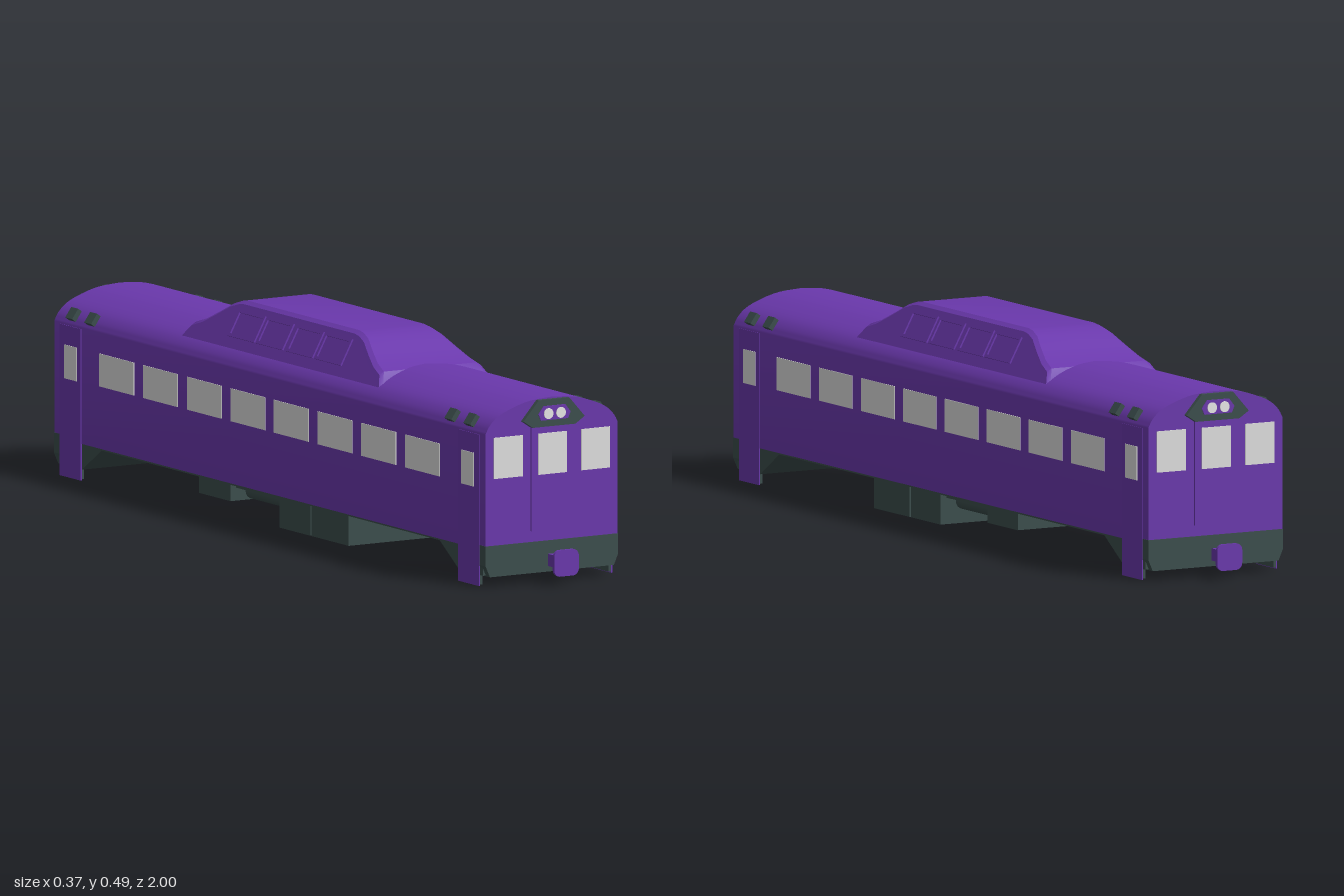
import * as THREE from 'three';
import { toCreasedNormals } from 'three/addons/utils/BufferGeometryUtils.js';

const mat = (name, color) => {
  const m = new THREE.MeshStandardMaterial({ color });
  m.name = name;
  return m;
};

export function createModel() {
  const purple = mat('purple paint', 0x6a38ac);
  const dark = mat('dark green grey', 0x3b4d4c);
  const glass = mat('pale glass', 0xdedede);
  const white = mat('lamp white', 0xf4f4f4);
  const model = new THREE.Group();
  model.name = 'railcar';

  const add = (parent, name, geo, material) => {
    const mesh = new THREE.Mesh(geo, material);
    mesh.name = name;
    parent.add(mesh);
    return mesh;
  };
  // box given by its limits on each axis
  const box = (parent, name, material, [x0, x1], [y0, y1], [z0, z1]) => {
    const mesh = add(parent, name, new THREE.BoxGeometry(x1 - x0, y1 - y0, z1 - z0), material);
    mesh.position.set((x0 + x1) / 2, (y0 + y1) / 2, (z0 + z1) / 2);
    return mesh;
  };
  const polygon = pts => new THREE.Shape(pts.map(p => new THREE.Vector2(...p)));
  // right half of an outline, mirrored to a closed shape
  const mirrored = half => polygon([...half, ...half.filter(p => p[0] > 0).reverse().map(([x, y]) => [-x, y])]);
  const extrude = (shape, depth, z = 0) =>
    new THREE.ExtrudeGeometry(shape, { depth, bevelEnabled: false, curveSegments: 8 }).translate(0, 0, z);

  // body shell with arched roof
  const arch = new THREE.SplineCurve([[0.177, 0.358], [0.166, 0.377], [0.145, 0.396], [0.11, 0.412], [0.06, 0.426], [0, 0.431]]
    .map(p => new THREE.Vector2(...p))).getPoints(16).map(p => [Math.max(p.x, 0), p.y]);
  arch[arch.length - 1] = [0, 0.431];
  add(model, 'body', toCreasedNormals(extrude(mirrored([[0.177, 0.09], ...arch]), 1.87, -0.935), 0.5), purple);

  // dark underframe, dropping at both ends
  const floor = polygon([[-0.92, 0.095], [-0.92, 0.03], [-0.818, 0.03], [-0.733, 0.086],
    [0.733, 0.086], [0.818, 0.03], [0.92, 0.03], [0.92, 0.095]]);
  add(model, 'underframe', extrude(floor, 0.35, -0.175).rotateY(-Math.PI / 2), dark);

  // equipment under the floor
  for (const [z0, z1, y0] of [[0.162, 0.322, 0.014], [0.022, 0.156, 0.014], [-0.326, -0.19, 0.045]])
    box(model, 'equipmentBox', dark, [-0.165, 0.165], [y0, 0.09], [z0, z1]);
  box(model, 'equipmentBeam', dark, [-0.15, 0.15], [0.075, 0.09], [-0.2, 0.3]);
  for (const x of [-0.105, 0.105]) {
    const tank = add(model, 'tank', new THREE.CylinderGeometry(0.02, 0.02, 0.24, 16).rotateX(Math.PI / 2), dark);
    tank.position.set(x, 0.066, -0.085);
  }

  // roof dome: fixed side slope, clipped by a height that varies along z
  const slopeX = y => 0.147 - (y - 0.397) * 0.5455;
  const ramp = [[0.43, 0.396], [0.408, 0.425], [0.37, 0.438], [0.33, 0.459], [0.29, 0.482], [0.262, 0.491], [0.24, 0.494]];
  const stations = [...ramp.map(([z, y]) => [-z, y]), ...ramp.slice().reverse()];
  const pos = [], idx = [];
  for (const [z, top] of stations) {
    const x = slopeX(top - 0.02);
    const half = [[slopeX(0.37), 0.37], [x, top - 0.02], [x - 0.007, top - 0.007], [x - 0.019, top]];
    for (const [px, py] of half) pos.push(px, py, z);
    for (const [px, py] of half.reverse()) pos.push(-px, py, z);
  }
  for (let s = 0; s < stations.length - 1; s++)
    for (let k = 0; k < 7; k++) {
      const a = s * 8 + k, b = a + 8;
      idx.push(a, a + 1, b, b, a + 1, b + 1);
    }
  const dome = new THREE.BufferGeometry();
  dome.setAttribute('position', new THREE.Float32BufferAttribute(pos, 3));
  dome.setIndex(idx);
  dome.computeVertexNormals();
  // orient faces outward
  const n = dome.attributes.normal, mid = 6 * 8 + 3;
  if (n.getY(mid) < 0) {
    for (let i = 0; i < idx.length; i += 3) [idx[i + 1], idx[i + 2]] = [idx[i + 2], idx[i + 1]];
    dome.setIndex(idx);
  }
  add(model, 'roofDome', toCreasedNormals(dome, 0.5), purple);

  // one side and one end are built, then turned round for the opposite ones
  for (const turn of [0, Math.PI]) {
    const side = new THREE.Group();
    side.name = 'side';
    side.rotation.y = turn;
    model.add(side);

    for (const c of [0.094, 0.283, 0.473, 0.663])
      for (const s of [-1, 1])
        box(side, 'sideWindow', glass, [0.175, 0.1785], [0.234, 0.31], [s * c - 0.075, s * c + 0.075]);

    for (const s of [-1, 1]) {
      // vestibule door with step skirt
      box(side, 'sideDoor', purple, [0.1755, 0.1785], [0.005, 0.355], [s * 0.8635 - 0.0455, s * 0.8635 + 0.0455]);
      box(side, 'skirtLining', dark, [0.169, 0.1755], [0.008, 0.09], [s * 0.8635 - 0.045, s * 0.8635 + 0.045]);
      box(side, 'doorWindow', glass, [0.177, 0.18], [0.232, 0.31], [s * 0.861 - 0.027, s * 0.861 + 0.027]);
      // roof edge vents
      for (const z of [0.863, 0.781]) {
        const vent = add(side, 'roofVent', new THREE.BoxGeometry(0.012, 0.028, 0.03), dark);
        vent.position.set(0.17, 0.382, s * z);
        vent.rotation.z = 0.62;
      }
    }

    // dome window frames lying on the slope
    const frame = polygon([[-0.058, -0.033], [0.058, -0.033], [0.058, 0.033], [-0.058, 0.033]]);
    frame.holes.push(new THREE.Path([[-0.05, -0.026], [-0.05, 0.026], [0.05, 0.026], [0.05, -0.026]]
      .map(p => new THREE.Vector2(...p))));
    for (const z of [-0.188, -0.065, 0.065, 0.188]) {
      const f = add(side, 'domeWindowFrame', extrude(frame, 0.006, -0.002).rotateY(Math.PI / 2), purple);
      f.position.set(slopeX(0.445), 0.445, z);
      f.rotation.z = 0.4996;
    }

    const end = new THREE.Group();
    end.name = 'end';
    end.rotation.y = turn;
    model.add(end);

    // buffer band, end door and windows
    add(end, 'endBand', extrude(mirrored([[0.166, 0.028], [0.1775, 0.054], [0.1775, 0.1]]), 0.0275, 0.909), dark);
    box(end, 'endDoor', purple, [-0.056, 0.056], [0.125, 0.366], [0.933, 0.938]);
    for (const [x, w] of [[-0.117, 0.0385], [0, 0.038], [0.117, 0.0385]])
      box(end, 'endWindow', glass, [x - w, x + w], [0.254, 0.349], [0.934, x ? 0.937 : 0.94]);

    // headlight housing
    add(end, 'headlightHousing', extrude(mirrored([[0.057, 0.365], [0.082, 0.381], [0.041, 0.427]]), 0.016, 0.93), dark);
    add(end, 'headlightPanel', extrude(mirrored([[0.036, 0.38], [0.043, 0.395], [0.029, 0.413]]), 0.003, 0.945), purple);
    for (const x of [-0.0165, 0.0165]) {
      const lamp = add(end, 'headlight', new THREE.CylinderGeometry(0.0125, 0.0125, 0.004, 24).rotateX(Math.PI / 2), white);
      lamp.position.set(x, 0.395, 0.948);
    }

    // coupler
    box(end, 'couplerShaft', purple, [-0.008, 0.008], [0.048, 0.064], [0.93, 0.995]);
    box(end, 'couplerBlock', purple, [-0.014, 0.014], [0.042, 0.07], [0.942, 0.968]);
    const r = 0.016, w = 0.033, h = 0.0305;
    const plate = new THREE.Shape();
    plate.absarc(w - r, h - r, r, 0, Math.PI / 2);
    plate.absarc(r - w, h - r, r, Math.PI / 2, Math.PI);
    plate.absarc(r - w, r - h, r, Math.PI, Math.PI * 1.5);
    plate.absarc(w - r, r - h, r, Math.PI * 1.5, Math.PI * 2);
    const face = add(end, 'couplerPlate', extrude(plate, 0.007, 0.993), purple);
    face.position.y = 0.056;
  }
  return model;
}
